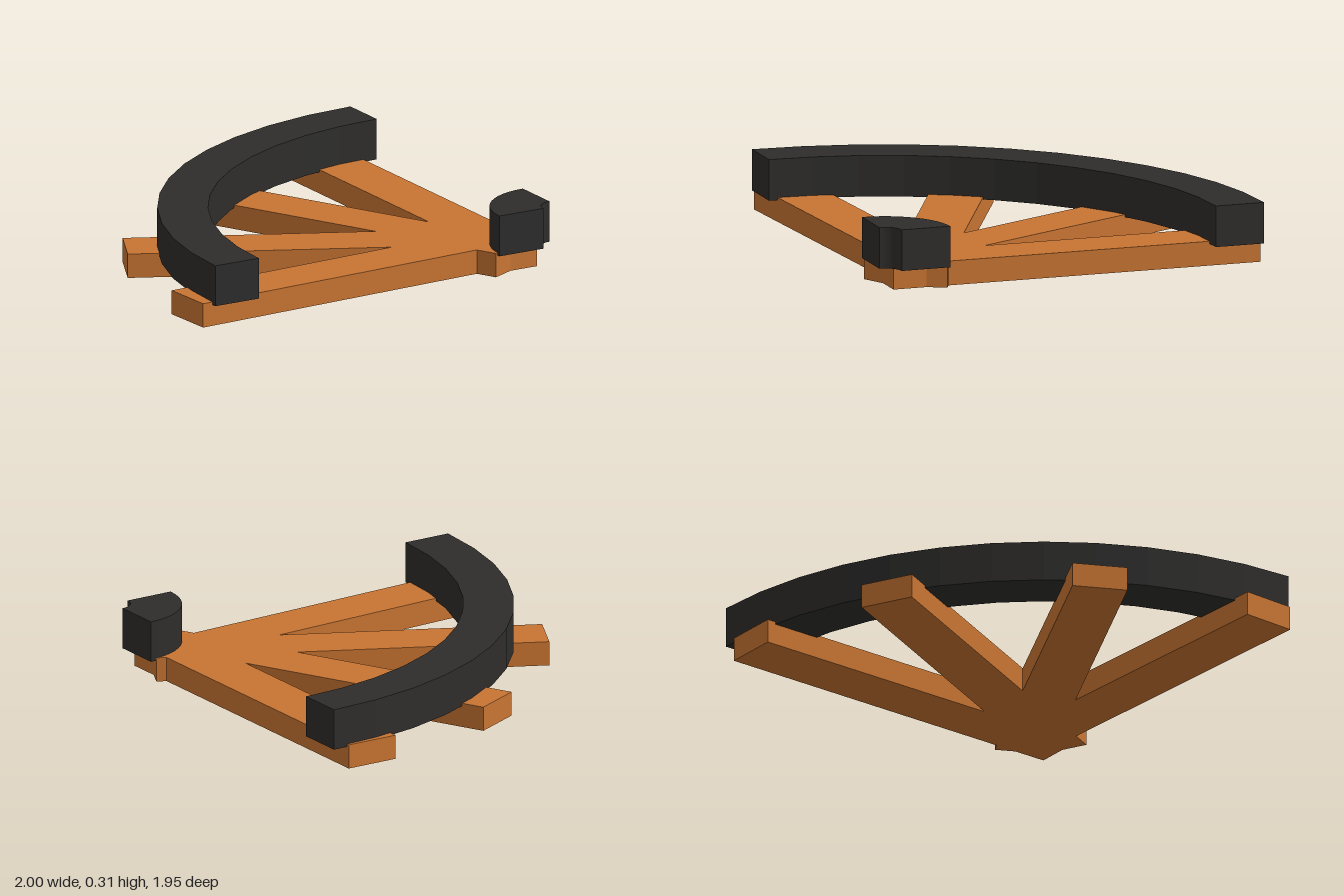
import * as THREE from 'three';

const wood = new THREE.MeshStandardMaterial({ color: 0xc87432, flatShading: true });
const dark = new THREE.MeshStandardMaterial({ color: 0x2e2d2c, flatShading: true });

const SPOKE_W = 0.27, SPOKE_H = 0.12;
const RIM_BASE = 0.107, RIM_H = 0.203;
const CENTRE = { x: 1, z: 0.97 };

// Faceted quarter ring, swept from the back round to the left-hand end
function quarterRing(name, inner, outer, segments = 12) {
  const points = [];
  const add = (r, i) => {
    const a = Math.PI / 2 * (1 + i / segments);
    points.push(new THREE.Vector2(r * Math.cos(a), r * Math.sin(a)));
  };
  for (let i = 0; i <= segments; i++) add(outer, i);
  for (let i = segments; i >= 0; i--) add(inner, i);
  const geometry = new THREE.ExtrudeGeometry(new THREE.Shape(points), { depth: RIM_H, bevelEnabled: false });
  geometry.rotateX(-Math.PI / 2);
  const mesh = new THREE.Mesh(geometry, dark);
  mesh.name = name;
  mesh.position.set(CENTRE.x, RIM_BASE, CENTRE.z);
  return mesh;
}

// Plank running inward from the middle of its outer end; angle in degrees from +x towards +z
function spoke(name, x, z, degrees, length) {
  const a = THREE.MathUtils.degToRad(degrees);
  const mesh = new THREE.Mesh(new THREE.BoxGeometry(length, SPOKE_H, SPOKE_W), wood);
  mesh.name = name;
  mesh.position.set(x + Math.cos(a) * length / 2, SPOKE_H / 2, z + Math.sin(a) * length / 2);
  mesh.rotation.y = -a;
  return mesh;
}

export function createModel() {
  const model = new THREE.Group();
  model.name = 'quarterWheel';

  // Fan of four planks
  const spokes = new THREE.Group();
  spokes.name = 'spokes';
  [
    [0.787, -0.975, 90, 1.875],
    [-0.056, -0.794, 63.8, 1.885],
    [-0.809, -0.076, 26, 1.91],
    [-0.993, 0.807, -3, 1.88],
  ].forEach(([x, z, angle, length], i) => spokes.add(spoke(`spoke${i + 1}`, x, z, angle, length)));
  model.add(spokes);

  // Outer rim and small hub resting on the planks
  model.add(quarterRing('rim', 1.69, 1.935));
  model.add(quarterRing('hub', 0.085, 0.333));
  return model;
}
